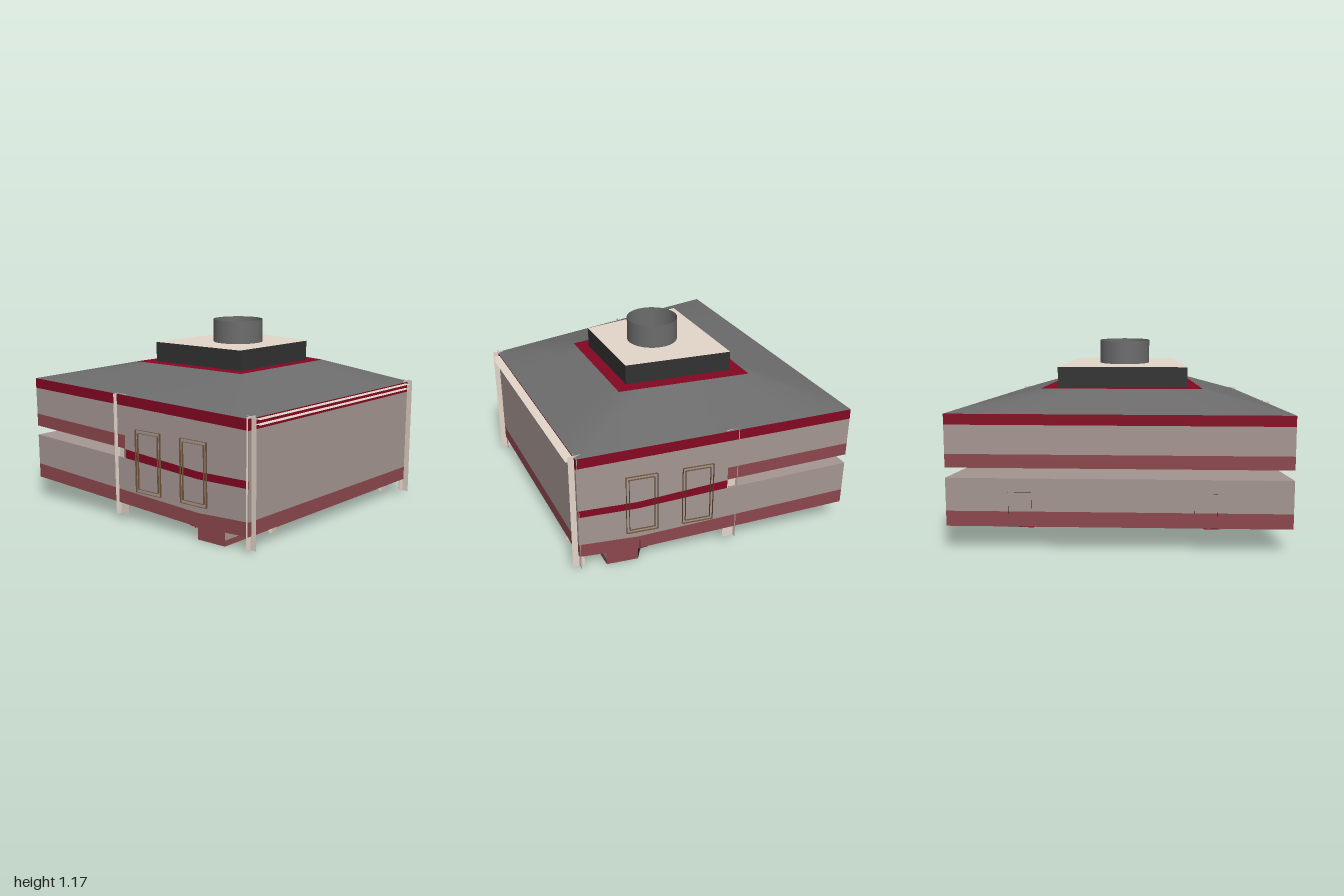
import * as THREE from 'three';

const mat = (name, color) => new THREE.MeshStandardMaterial({ name, color, side: THREE.DoubleSide });

// half width of the fan-shaped plan at depth z
const hw = (z) => 0.78 + (0.81 - z) * 0.22 / 1.665;

export function createModel() {
  const group = new THREE.Group();
  const red = mat('crimson', 0x840721), wall = mat('warm grey', 0xa59692), rose = mat('dusty rose', 0x8c474d);
  const mauve = mat('pale mauve', 0xcfa4ad), grey = mat('roof grey', 0x6c6c6c), dark = mat('charcoal', 0x313131);
  const cream = mat('cream', 0xe4d6ca), brown = mat('wood brown', 0x6b5138), black = mat('black', 0x242424);
  const slate = mat('slate', 0x504c4a);

  function add(name, geometry, material, x = 0, y = 0, z = 0) {
    const m = new THREE.Mesh(geometry, material);
    m.name = name;
    m.position.set(x, y, z);
    group.add(m);
    return m;
  }

  // surface between two point rows, flat or smooth
  function loft(name, material, a, b, smooth = false, closed = false) {
    const n = a.length, idx = [];
    for (let i = 0; i < (closed ? n : n - 1); i++) {
      const j = (i + 1) % n;
      idx.push(i, j, n + j, i, n + j, n + i);
    }
    let g = new THREE.BufferGeometry();
    g.setAttribute('position', new THREE.Float32BufferAttribute([...a, ...b].flat(), 3));
    g.setIndex(idx);
    if (!smooth) g = g.toNonIndexed();
    g.computeVertexNormals();
    return add(name, g, material);
  }

  // wall band from rows [z, low, high], going round the back; front closes it
  function band(name, material, rows, front = false) {
    const loop = [...rows.map((r) => [-1, ...r]), ...[...rows].reverse().map((r) => [1, ...r])];
    const edge = (k) => loop.map((r) => [r[0] * hw(r[1]), r[k], r[1]]);
    loft(name, material, edge(2), edge(3), false, front);
  }

  // ---- walls ----
  band('topStripe', red, [[0.81, 0.69, 0.755], [-0.855, 0.74, 0.803]], true);
  band('upperWall', wall, [[0.81, 0.41, 0.69], [0.46, 0.405, 0.70], [-0.09, 0.45, 0.717],
    [-0.0901, 0.535, 0.717], [-0.855, 0.57, 0.74]]);
  band('balconyDado', rose, [[-0.09, 0.453, 0.535], [-0.855, 0.49, 0.57]]);
  band('lowerWall', wall, [[0.81, 0.175, 0.365], [0.46, 0.16, 0.36], [-0.09, 0.191, 0.395], [-0.855, 0.235, 0.43]]);
  band('lowerDado', rose, [[0.81, 0.09, 0.175], [0.46, 0.075, 0.16], [-0.855, 0.145, 0.235]], true);
  const w = hw(0.81);
  loft('frontWall', wall, [[-w, 0.175, 0.81], [w, 0.175, 0.81]], [[-w, 0.69, 0.81], [w, 0.69, 0.81]]);
  for (const s of [-1, 1]) {
    const row = (pts) => pts.map(([z, y]) => [s * hw(z), y, z]);
    loft('middleStripe', red, row([[0.81, 0.365], [0.46, 0.36], [-0.09, 0.395]]),
      row([[0.81, 0.41], [0.46, 0.405], [-0.09, 0.453]]));
    loft('pitSide', rose, row([[0.65, 0], [0.46, 0]]), row([[0.65, 0.09], [0.46, 0.08]]));
  }
  const p = hw(0.65);
  const pitRow = (y) => [[-p, y, 0.65], [p, y, 0.65]];
  loft('pitFrontBase', rose, pitRow(0), pitRow(0.035));
  loft('pitFront', wall, pitRow(0.035), pitRow(0.09));

  // ---- floors with curved front edges ----
  const N = 24;
  const across = (zf, yf) => Array.from({ length: N + 1 }, (_, i) => {
    const u = i / N * 2 - 1, z = zf(u);
    return [u * hw(z), yf(z), z];
  });
  const flat = (v) => () => v;
  const pitArc = (u) => 0.21 + 0.25 * u * u, balconyArc = (u) => -0.4 + 0.3 * u * u;
  const floorY = (z) => 0.075 + (0.46 - z) * 0.07 / 1.315;
  const balconyY = (z) => 0.453 + (-0.09 - z) * 0.037 / 0.765;
  const ceilingY = (z) => 0.395 + (-0.09 - z) * 0.035 / 0.765;
  const back = flat(-0.855);
  const sheet = (name, m, z0, z1, y) => loft(name, m, across(z0, y), across(z1, y));
  sheet('mainFloor', mauve, pitArc, back, floorY);
  sheet('pitFloor', mauve, flat(0.65), pitArc, flat(0));
  sheet('stageFloor', mauve, flat(0.81), flat(0.65), flat(0.09));
  sheet('balconyFloor', mauve, balconyArc, back, balconyY);
  sheet('lowerCeiling', wall, balconyArc, back, ceilingY);
  sheet('crossAisle', red, pitArc, (u) => pitArc(u) - 0.06, (z) => floorY(z) - 0.004);
  loft('pitWall', black, across(pitArc, flat(0)), across(pitArc, flat(0.07)), true);
  loft('pitLip', brown, across(pitArc, flat(0.07)), across(pitArc, floorY), true);
  loft('balconyFascia', slate, across(balconyArc, ceilingY), across(balconyArc, balconyY), true);
  for (const s of [-1, 1]) {
    const line = (d) => [[0.28, 0.2], [0.535, -0.853]].map(([x, z]) => [s * (x + d), floorY(z) - 0.004, z]);
    loft('aisle', red, line(-0.045), line(0.045));
  }

  // ---- roof: each side is subdivided so shading blends near corners only ----
  const loop = (corners, k) => corners.flatMap((c, i) => {
    const d = corners[(i + 1) % 4];
    return Array.from({ length: k }, (_, j) => c.map((v, a) => v + (d[a] - v) * j / k));
  });
  const trap = (f, zf, yf, b, zb, yb) => [[-f, yf, zf], [f, yf, zf], [b, yb, zb], [-b, yb, zb]];
  const ringOuter = trap(0.39, 0.385, 0.9, 0.495, -0.443, 0.9);
  const ringInner = trap(0.315, 0.308, 0.9, 0.4, -0.36, 0.9);
  const lid = trap(0.315, 0.308, 1.025, 0.4, -0.36, 1.025);
  loft('roof', grey, loop(trap(w, 0.81, 0.755, 1, -0.855, 0.803), 5), loop(ringOuter, 5), true, true);
  loft('roofBorder', red, ringOuter, ringInner, false, true);
  loft('plinthSides', dark, ringInner, lid, false, true);
  loft('plinthTop', cream, [lid[0], lid[1]], [lid[3], lid[2]]);
  add('turret', new THREE.CylinderGeometry(0.16, 0.16, 0.145, 40, 1, true), grey, 0, 1.0975, -0.01);
  add('turretDisc', new THREE.CylinderGeometry(0.075, 0.075, 0.006, 32), grey, 0, 1.03, -0.02);

  // ---- posts and brackets: crossed upright plates without thickness ----
  function cross(name, x0, x1, zAcross, xAlong, z0, z1, y0, y1) {
    loft(name, cream, [[x0, y0, zAcross], [x1, y0, zAcross]], [[x0, y1, zAcross], [x1, y1, zAcross]]);
    loft(name + 'Web', cream, [[xAlong, y0, z0], [xAlong, y0, z1]], [[xAlong, y1, z0], [xAlong, y1, z1]]);
  }
  for (const s of [-1, 1]) {
    cross('frontPost', s * 0.72, s * 0.793, 0.805, s * 0.757, 0.772, 0.846, 0.01, 0.767);
    cross('frontBracket', s * 0.515, s * 0.575, 0.78, s * 0.545, 0.745, 0.808, 0.05, 0.1);
    loft('stepPost', brown, [[s * 0.815, 0.07, 0.45], [s * 0.842, 0.07, 0.45]],
      [[s * 0.815, 0.14, 0.45], [s * 0.842, 0.14, 0.45]]);
  }
  cross('leftSidePost', 0.865, 0.917, -0.148, 0.891, -0.15, -0.075, 0.035, 0.787);
  cross('rightSidePost', -0.932, -0.88, -0.148, -0.894, -0.15, -0.075, 0.035, 0.787);
  for (const y of [0.718, 0.748]) {
    loft('frontLedge', cream, [[-0.73, y, 0.85], [0.73, y, 0.85]], [[-0.73, y, 0.805], [0.73, y, 0.805]]);
  }

  // ---- door frames: rings of thin strips standing off the wall ----
  for (const s of [-1, 1]) {
    for (const z of [0.434, 0.095]) {
      for (const [name, h, y0, y1] of [['sideDoorFrame', 0.094, 0.2, 0.585], ['sideDoorInnerFrame', 0.076, 0.22, 0.565]]) {
        const ring = (d) => [[-h, y0], [h, y0], [h, y1], [-h, y1]].map(([dz, y]) => [s * (hw(z + dz) + d), y, z + dz]);
        loft(name, brown, ring(0), ring(0.013), false, true);
      }
    }
    const x = s > 0 ? 0.57 : -0.5;
    const ring = (z) => [[-0.067, 0.147], [0.067, 0.147], [0.067, 0.35], [-0.067, 0.35]].map(([dx, y]) => [x + dx, y, z]);
    loft('backDoorFrame', black, ring(-0.855), ring(-0.861), false, true);
  }
  return group;
}
